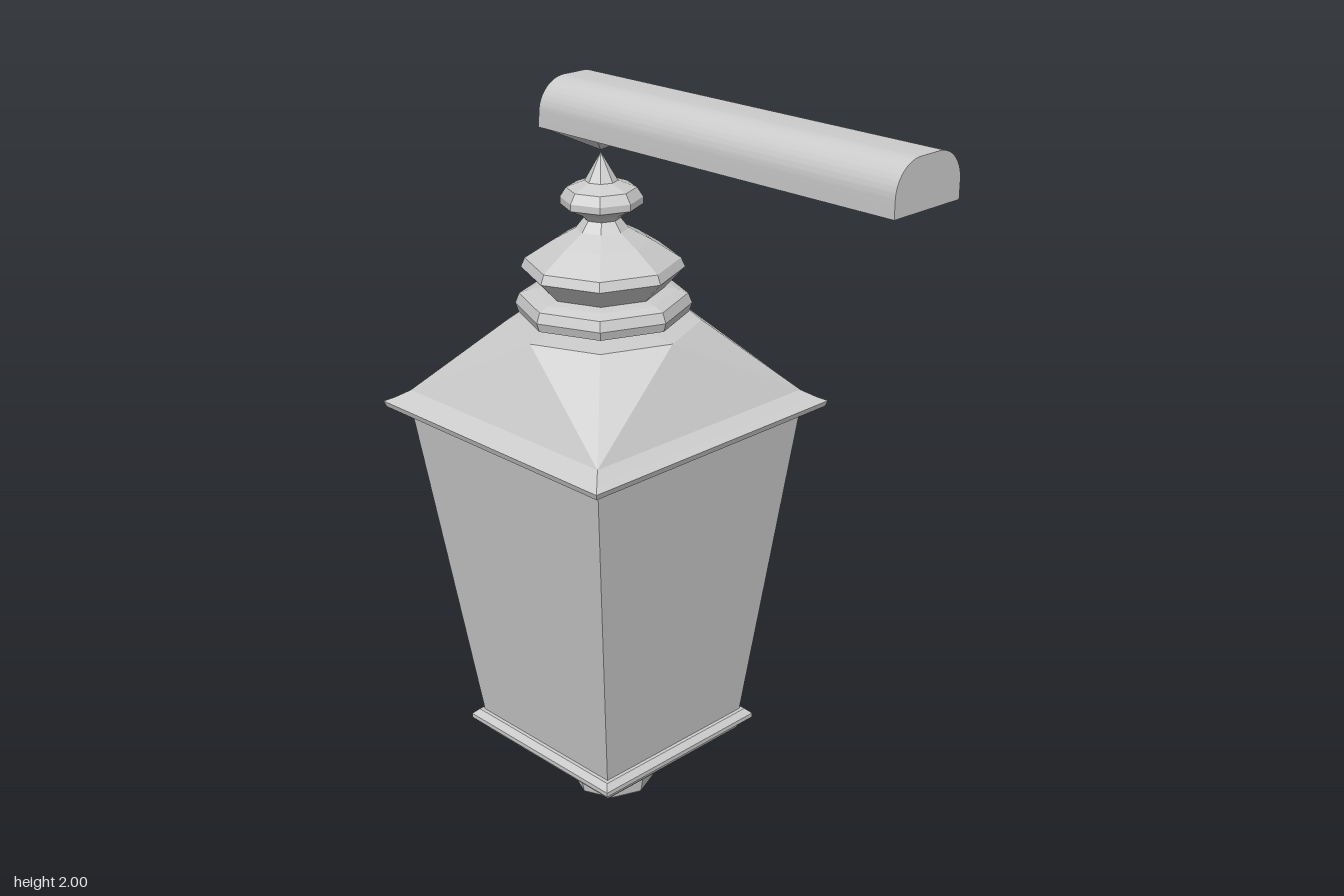
import * as THREE from 'three';
import { toCreasedNormals } from 'three/addons/utils/BufferGeometryUtils.js';

const flat = new THREE.MeshStandardMaterial({ color: 0xcccccc, flatShading: true });
const smooth = new THREE.MeshStandardMaterial({ color: 0xcccccc });

// Turned profile [radius, y] from bottom to top; 8 sides with corners on the axes,
// or 4 sides where the radius is the half width of the square.
function turned(name, profile, sides) {
  const k = sides === 4 ? Math.SQRT2 : 1;
  const points = profile.map(([r, y]) => new THREE.Vector2(r * k, y));
  const geometry = new THREE.LatheGeometry(points, sides, sides === 4 ? Math.PI / 4 : 0);
  const mesh = new THREE.Mesh(geometry, flat);
  mesh.name = name;
  return mesh;
}

// Roof shell that blends a square eave into an octagonal neck
function makeRoof(half, yLow, radius, yHigh) {
  const low = [], high = [], position = [];
  for (let i = 0; i < 8; i++) {
    const a = (i * Math.PI) / 4, s = Math.sin(a), c = Math.cos(a);
    const k = half / Math.max(Math.abs(s), Math.abs(c));
    low.push([s * k, yLow, c * k]);
    high.push([s * radius, yHigh, c * radius]);
  }
  for (let i = 0; i < 8; i++) {
    const j = (i + 1) % 8;
    // split each panel from the axis point of the neck to the eave corner
    const corners = i % 2 === 0
      ? [low[i], low[j], high[i], low[j], high[j], high[i]]
      : [low[i], low[j], high[j], low[i], high[j], high[i]];
    corners.forEach((p) => position.push(...p));
  }
  const geometry = new THREE.BufferGeometry();
  geometry.setAttribute('position', new THREE.Float32BufferAttribute(position, 3));
  geometry.computeVertexNormals();
  const mesh = new THREE.Mesh(geometry, flat);
  mesh.name = 'roof';
  return mesh;
}

// Wall arm: a bar with a rounded top and a slightly slanted back end
function makeArm() {
  const w = 0.105, r = 0.075, bottom = 1.885, top = 2, back = -0.385, front = 0.685;
  const s = new THREE.Shape();
  s.moveTo(-w, bottom);
  s.lineTo(w, bottom);
  s.lineTo(w, top - r);
  s.absarc(w - r, top - r, r, 0, Math.PI / 2);
  s.lineTo(r - w, top);
  s.absarc(r - w, top - r, r, Math.PI / 2, Math.PI);
  s.closePath();
  const geometry = new THREE.ExtrudeGeometry(s, { depth: front - back, bevelEnabled: false, curveSegments: 10 });
  geometry.translate(0, 0, back);
  const p = geometry.attributes.position;
  for (let i = 0; i < p.count; i++) {
    if (p.getZ(i) < 0) p.setZ(i, back + 0.012 * (p.getY(i) - bottom) / (top - bottom));
  }
  const mesh = new THREE.Mesh(toCreasedNormals(geometry, 0.6), smooth);
  mesh.name = 'arm';
  return mesh;
}

export function createModel() {
  const model = new THREE.Group();
  const lantern = new THREE.Group();
  lantern.name = 'lantern';
  lantern.position.z = -0.285;

  lantern.add(
    turned('bottomFinial', [
      [0, 0], [0.1, 0.06], [0.11, 0.07], [0.12, 0.125], [0.145, 0.14],
      [0.145, 0.163], [0.115, 0.17], [0.14, 0.183], [0.14, 0.192],
    ], 8),
    turned('base', [
      [0, 0.187], [0.19, 0.187], [0.19, 0.21], [0.225, 0.21], [0.24, 0.225],
      [0.25, 0.25], [0.27, 0.258], [0.27, 0.27], [0.255, 0.285], [0.245, 0.285],
    ], 4),
    turned('glassBody', [[0.245, 0.285], [0.345, 1.16]], 4),
    turned('eave', [
      [0.345, 1.16], [0.37, 1.17], [0.39, 1.175], [0.395, 1.19], [0.375, 1.2], [0.345, 1.22],
    ], 4),
    makeRoof(0.345, 1.22, 0.24, 1.405),
    turned('topFinial', [
      [0.24, 1.405], [0.165, 1.412], [0.21, 1.428], [0.217, 1.45], [0.207, 1.475],
      [0.18, 1.485], [0.15, 1.49], [0.2, 1.542], [0.19, 1.565], [0.12, 1.61],
      [0.065, 1.64], [0.045, 1.665], [0.06, 1.68], [0.1, 1.7], [0.1, 1.717],
      [0.085, 1.74], [0.04, 1.757], [0.015, 1.8], [0, 1.825],
    ], 8),
    // Pointed bracket hanging below the arm
    turned('hanger', [[0, 1.83], [0.1, 1.885]], 4),
  );

  model.add(lantern, makeArm());
  return model;
}
